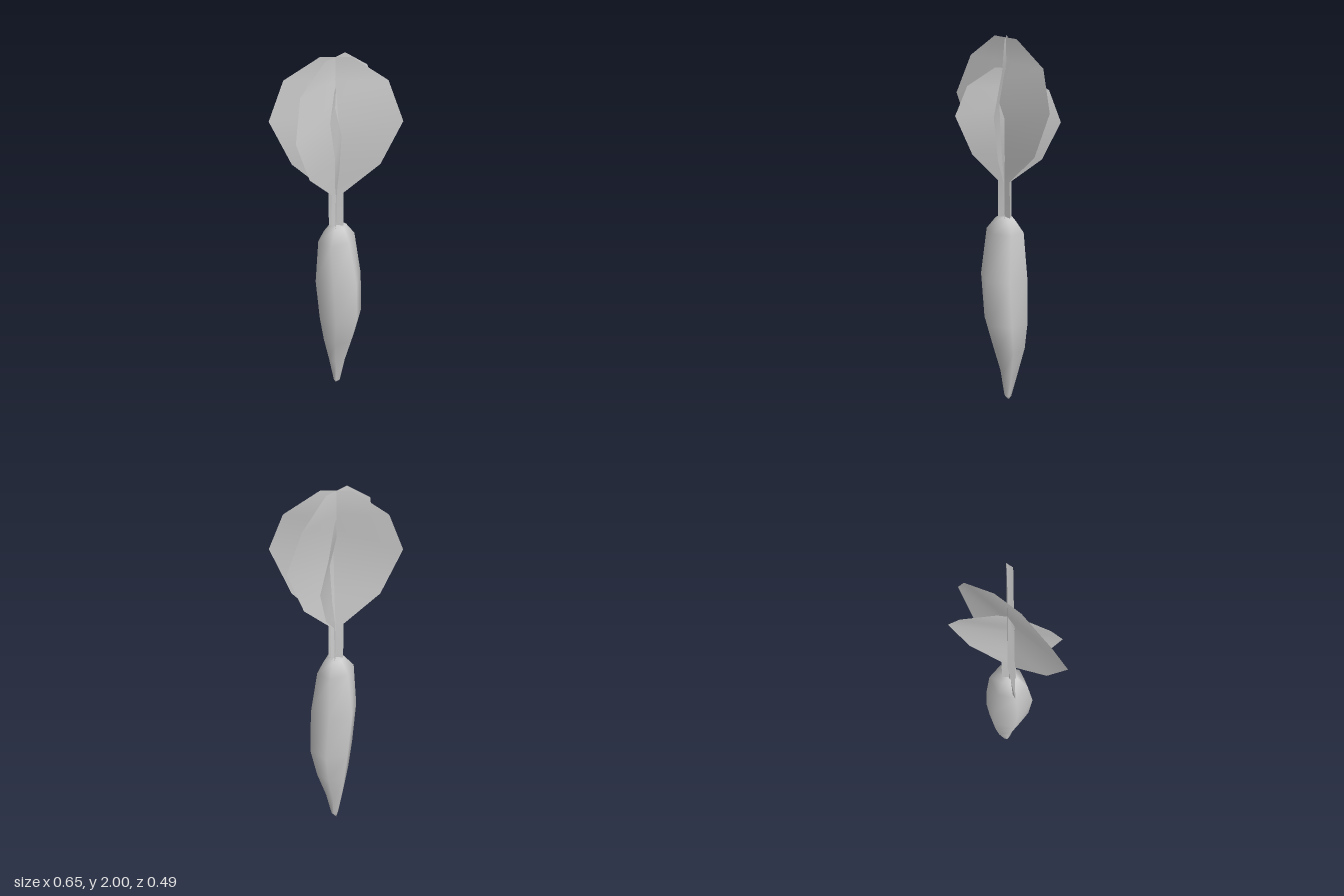
import * as THREE from 'three';

const grey = new THREE.MeshStandardMaterial({ color: 0xcccccc });
grey.name = 'plain grey';
const leafGrey = grey.clone();
leafGrey.name = 'leaf grey';
leafGrey.side = THREE.DoubleSide;

function meshFrom(positions, index, material, name) {
  const geometry = new THREE.BufferGeometry();
  geometry.setAttribute('position', new THREE.Float32BufferAttribute(positions, 3));
  geometry.setIndex(index);
  geometry.computeVertexNormals();
  const mesh = new THREE.Mesh(geometry, material);
  mesh.name = name;
  return mesh;
}

// Six-sided root, lofted from the tip up: y, centre x, centre z, half width, half depth
function makeRoot() {
  const rings = [
    [0.03, 0.016, -0.027, 0.018, 0.018],
    [0.18, 0.023, -0.030, 0.043, 0.050],
    [0.34, 0.027, -0.020, 0.082, 0.085],
    [0.50, 0.022, -0.006, 0.106, 0.116],
    [0.75, 0.005, -0.008, 0.110, 0.127],
    [1.00, 0.002, -0.018, 0.093, 0.088],
    [1.07, 0.005, -0.015, 0.045, 0.045],
  ];
  const sides = 6, positions = [], index = [];
  for (const [y, cx, cz, w, d] of rings) {
    for (let i = 0; i < sides; i++) {
      const a = (i / sides) * Math.PI * 2;
      positions.push(cx + (Math.sin(a) * w) / Math.sin(Math.PI / 3), y, cz + Math.cos(a) * d);
    }
  }
  const tip = rings.length * sides, crown = tip + 1, last = (rings.length - 1) * sides;
  positions.push(0.015, 0, -0.036, 0.004, 1.075, -0.016);
  for (let i = 0; i < sides; i++) {
    const j = (i + 1) % sides;
    for (let r = 0; r < last; r += sides) {
      index.push(r + i, r + j, r + sides + j, r + i, r + sides + j, r + sides + i);
    }
    index.push(tip, j, i, crown, last + i, last + j);
  }
  return meshFrom(positions, index, grey, 'root');
}

// Thin bent leaf with a stalk; rows are y, half width, bend, sideways shift
function makeLeaf(name, dirX, dirZ, rows) {
  const dir = new THREE.Vector2(dirX, dirZ).normalize();
  const positions = [], index = [];
  rows.forEach(([y, half, bend, shift = 0], r) => {
    for (const side of [-1, 1]) {
      const along = side * half + shift;
      positions.push(dir.x * along + dir.y * bend, y, -0.018 + dir.y * along - dir.x * bend);
    }
    const k = r * 2;
    if (r) index.push(k - 2, k - 1, k + 1, k - 2, k + 1, k);
  });
  return meshFrom(positions, index, leafGrey, name);
}

export function createModel() {
  const model = new THREE.Group();
  model.name = 'carrot';
  model.add(makeRoot());

  const large = [
    [1.06, 0.038, 0], [1.27, 0.038, -0.004], [1.44, 0.22, -0.016],
    [1.68, 0.325, -0.026], [1.88, 0.25, 0.007], [2.0, 0.075, 0.004],
  ];
  const small = [
    [1.06, 0.036, 0], [1.27, 0.036, -0.004], [1.40, 0.18, -0.018, 0.015],
    [1.60, 0.27, -0.03, 0.02], [1.75, 0.208, 0, 0.015], [1.85, 0.05, 0],
  ];
  model.add(
    makeLeaf('wideLeaf', 1, -0.025, large),
    makeLeaf('diagonalLeaf', 0.66, 0.75, large),
    makeLeaf('smallLeaf', 0.84, -0.54, small),
  );
  return model;
}
